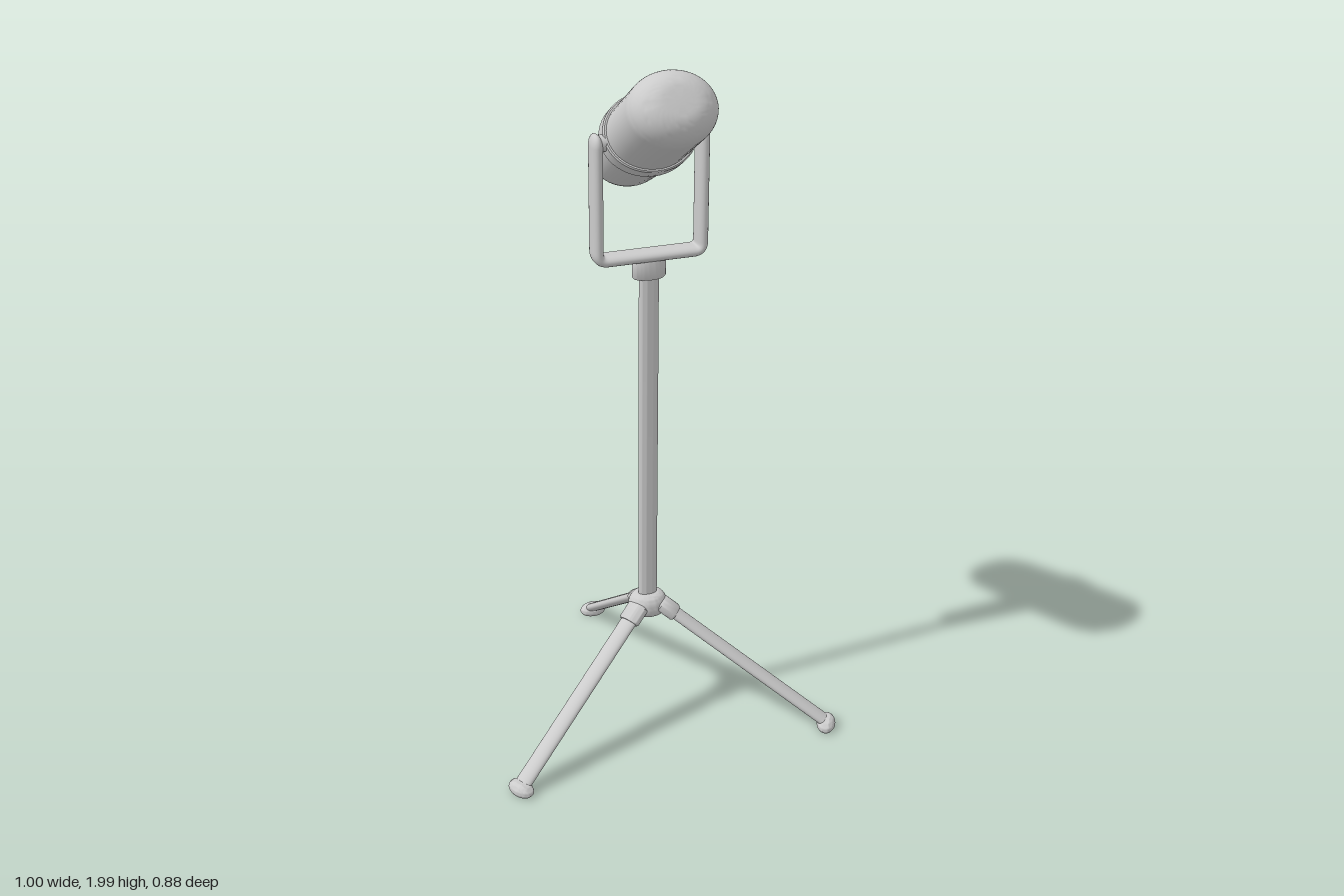
import * as THREE from 'three';
import { mergeVertices, toCreasedNormals } from 'three/addons/utils/BufferGeometryUtils.js';

const material = new THREE.MeshStandardMaterial({ color: 0xcccccc });

function part(name, geometry, parent, x = 0, y = 0, z = 0) {
  const mesh = new THREE.Mesh(geometry, material);
  mesh.name = name;
  mesh.position.set(x, y, z);
  parent.add(mesh);
  return mesh;
}

// Lathe from [radius, height] pairs (bottom to top), squashed in z
function turned(points, squash = 1, crease = 0.7) {
  const g = new THREE.LatheGeometry(points.map(([r, y]) => new THREE.Vector2(r, y)), 48);
  g.scale(1, 1, squash);
  return toCreasedNormals(g, crease);
}

// Quarter-ellipse of profile points, from angle a to b, round (r, y)
function arc(r, y, rr, ry, a, b, n = 10) {
  return Array.from({ length: n + 1 }, (_, i) => {
    const t = a + ((b - a) * i) / n;
    return [Math.max(0, r + rr * Math.cos(t)), y + ry * Math.sin(t)];
  });
}

// Widens a round bar of radius r in z into a flat-sided strap
function flattenBar(geometry, r, halfWidth) {
  const p = geometry.attributes.position;
  for (let i = 0; i < p.count; i++) {
    const s = p.getZ(i) / r;
    p.setZ(i, Math.sign(s) * halfWidth * Math.pow(Math.min(1, Math.abs(s)), 0.7));
  }
  geometry.deleteAttribute('uv');
  geometry.deleteAttribute('normal');
  const g = mergeVertices(geometry, 1e-5);
  g.computeVertexNormals();
  return g;
}

export function createModel() {
  const model = new THREE.Group();
  model.name = 'microphoneOnStand';
  const stand = new THREE.Group();
  stand.name = 'stand';
  stand.position.set(-0.003, 0, 0.13);
  model.add(stand);

  // Pole, collar and hub
  part('pole', turned([[0, 0.36], [0.028, 0.36], [0.028, 1.41], [0, 1.41]], 0.57), stand);
  part('collar', turned([
    [0, 1.392], [0.043, 1.392], [0.047, 1.397], [0.047, 1.44], [0.042, 1.45], [0, 1.45],
  ], 0.57), stand);
  part('hub', turned([
    [0, 0.335], [0.03, 0.335], [0.05, 0.345], ...arc(0.03, 0.368, 0.027, 0.038, -0.3, Math.PI / 2), [0, 0.406],
  ], 0.88), stand);

  // Three folding legs, spaced evenly
  const top = new THREE.Vector3(0, 0.373, -0.04);
  const end = new THREE.Vector3(0, 0.024, -0.535);
  const length = top.distanceTo(end);
  const tilt = Math.atan2(top.z - end.z, top.y - end.y);
  const legGeo = new THREE.CylinderGeometry(1, 1, length, 32).scale(0.026, 1, 0.0145);
  const socketGeo = turned([
    [0, -0.03], [0.03, -0.03], [0.034, -0.025], [0.034, 0.022], [0.026, 0.03], [0, 0.03],
  ], 0.62);
  const footGeo = turned([
    [0, 0], [0.034, 0], ...arc(0.03, 0.013, 0.012, 0.011, -0.7, 0.3, 6),
    ...arc(0, 0.013, 0.042, 0.025, 0.35, Math.PI / 2),
  ], 0.65);
  for (let i = 0; i < 3; i++) {
    const leg = new THREE.Group();
    leg.name = 'leg';
    leg.rotation.y = (i * Math.PI * 2) / 3;
    stand.add(leg);
    const mid = top.clone().lerp(end, 0.5);
    part('legTube', legGeo, leg, 0, mid.y, mid.z).rotation.x = tilt;
    const s = top.clone().lerp(end, 0.04);
    part('legSocket', socketGeo, leg, 0, s.y, s.z).rotation.x = tilt;
    part('foot', footGeo, leg, 0, 0, -0.54);
  }

  // U-shaped yoke, a flat strap with rounded ends
  const w = 0.146, base = 1.456, tipY = 1.768, c = 0.025, r = 0.0155, half = 0.033;
  const V = (x, y) => new THREE.Vector3(x, y, 0);
  const path = new THREE.CurvePath();
  path.add(new THREE.LineCurve3(V(-w, tipY), V(-w, base + c)));
  path.add(new THREE.QuadraticBezierCurve3(V(-w, base + c), V(-w, base), V(-w + c, base)));
  path.add(new THREE.LineCurve3(V(-w + c, base), V(w - c, base)));
  path.add(new THREE.QuadraticBezierCurve3(V(w - c, base), V(w, base), V(w, base + c)));
  path.add(new THREE.LineCurve3(V(w, base + c), V(w, tipY)));
  part('yoke', flattenBar(new THREE.TubeGeometry(path, 160, r, 32), r, half), stand);
  const tipGeo = flattenBar(new THREE.SphereGeometry(r, 32, 24).scale(1, half / r, 1), r, half);
  const pinGeo = new THREE.CylinderGeometry(0.022, 0.022, 0.04, 24).rotateZ(Math.PI / 2);
  for (const side of [-1, 1]) {
    part('yokeTip', tipGeo, stand, side * w, tipY, 0);
    part('pivotPin', pinGeo, stand, side * 0.122, 1.775, 0);
  }

  // Microphone, tilted with its grille up and forward (+y of the group)
  const mic = new THREE.Group();
  mic.name = 'microphone';
  mic.position.set(-0.003, 1.784, 0.121);
  mic.rotation.x = THREE.MathUtils.degToRad(57.5);
  model.add(mic);
  const flat = 0.84;
  part('grille', turned([
    [0.119, 0], [0.119, 0.1], ...arc(0.037, 0.203, 0.082, 0.08, 0, Math.PI / 2, 14), [0, 0.284],
  ], flat), mic);
  part('rearBody', turned([
    [0, -0.271], ...arc(0.026, -0.185, 0.077, 0.085, -Math.PI / 2, -0.1, 14),
    [0.108, -0.13], [0.114, -0.06], [0.117, 0],
  ], flat), mic);
  part('ring', turned([
    [0.112, -0.024], [0.124, -0.024], [0.128, -0.02], [0.128, 0.02], [0.124, 0.024], [0.112, 0.024],
  ], flat), mic);

  return model;
}
